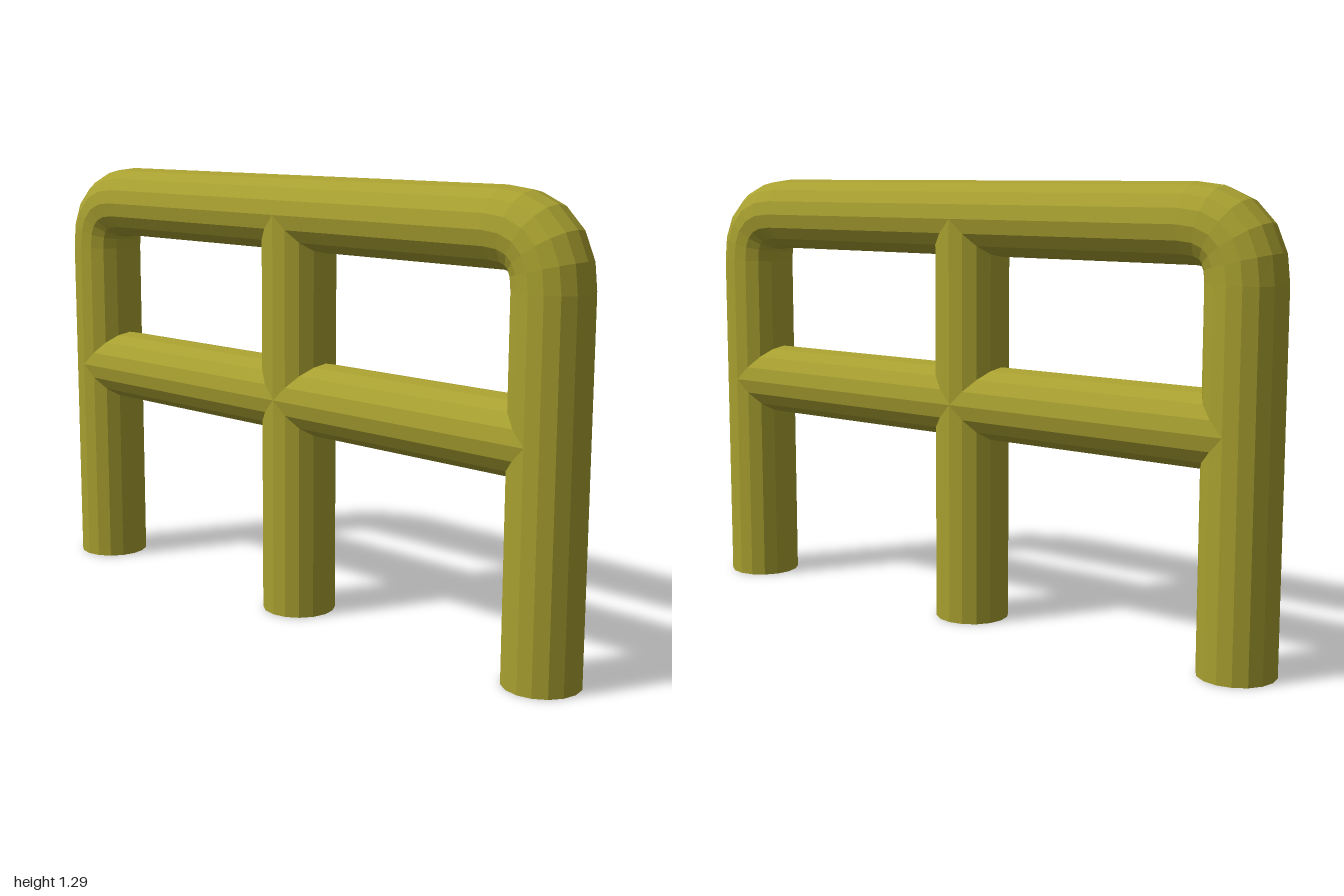
import * as THREE from 'three';

const R = 0.108;      // tube radius
const SIDES = 16;
const LEG_Z = 0.892;  // leg axis
const TOP_Y = 1.182;  // top rail axis
const RAIL_Y = 0.648; // middle rail axis
const BEND = 0.15;    // reach of each corner bend

// Sweep an open round tube along stations { z, y, tz, ty } in the x = 0 plane
function sweep(stations) {
  const pos = [], index = [], row = SIDES + 1;
  stations.forEach(({ z, y, tz, ty }, i) => {
    for (let j = 0; j <= SIDES; j++) {
      const a = (j / SIDES) * Math.PI * 2;
      const c = Math.cos(a) * R, s = Math.sin(a) * R;
      pos.push(s, y + c * tz, z - c * ty);
      if (i && j) {
        const d = i * row + j, b = d - row;
        index.push(b - 1, b, d - 1, b, d, d - 1);
      }
    }
  });
  const g = new THREE.BufferGeometry();
  g.setAttribute('position', new THREE.Float32BufferAttribute(pos, 3));
  g.setIndex(index);
  g.computeVertexNormals();
  return g;
}

// Stations of one rounded corner
function corner(a, b, c, steps = 5) {
  const curve = new THREE.QuadraticBezierCurve(
    new THREE.Vector2(...a), new THREE.Vector2(...b), new THREE.Vector2(...c));
  return Array.from({ length: steps + 1 }, (_, i) => {
    const p = curve.getPoint(i / steps), t = curve.getTangent(i / steps);
    return { z: p.x, y: p.y, tz: t.x, ty: t.y };
  });
}

export function createModel() {
  const group = new THREE.Group();
  const paint = new THREE.MeshStandardMaterial({
    color: 0xa8a030, flatShading: true, side: THREE.DoubleSide,
  });
  const add = (name, geometry) => {
    const mesh = new THREE.Mesh(geometry, paint);
    mesh.name = name;
    group.add(mesh);
    return mesh;
  };

  // Outer hoop: front leg, top rail and back leg in one bent tube
  add('outerHoop', sweep([
    { z: LEG_Z, y: 0, tz: 0, ty: 1 },
    ...corner([LEG_Z, TOP_Y - BEND], [LEG_Z, TOP_Y], [LEG_Z - BEND, TOP_Y]),
    ...corner([BEND - LEG_Z, TOP_Y], [-LEG_Z, TOP_Y], [-LEG_Z, TOP_Y - BEND]),
    { z: -LEG_Z, y: 0, tz: 0, ty: -1 },
  ]));

  // Centre post, running up into the top rail
  add('centrePost', new THREE.CylinderGeometry(R, R, TOP_Y, SIDES, 1, true))
    .position.y = TOP_Y / 2;

  // Middle rail between the leg axes
  const rail = add('middleRail', new THREE.CylinderGeometry(R, R, LEG_Z * 2, SIDES, 1, true));
  rail.rotation.x = Math.PI / 2;
  rail.position.y = RAIL_Y;

  return group;
}
